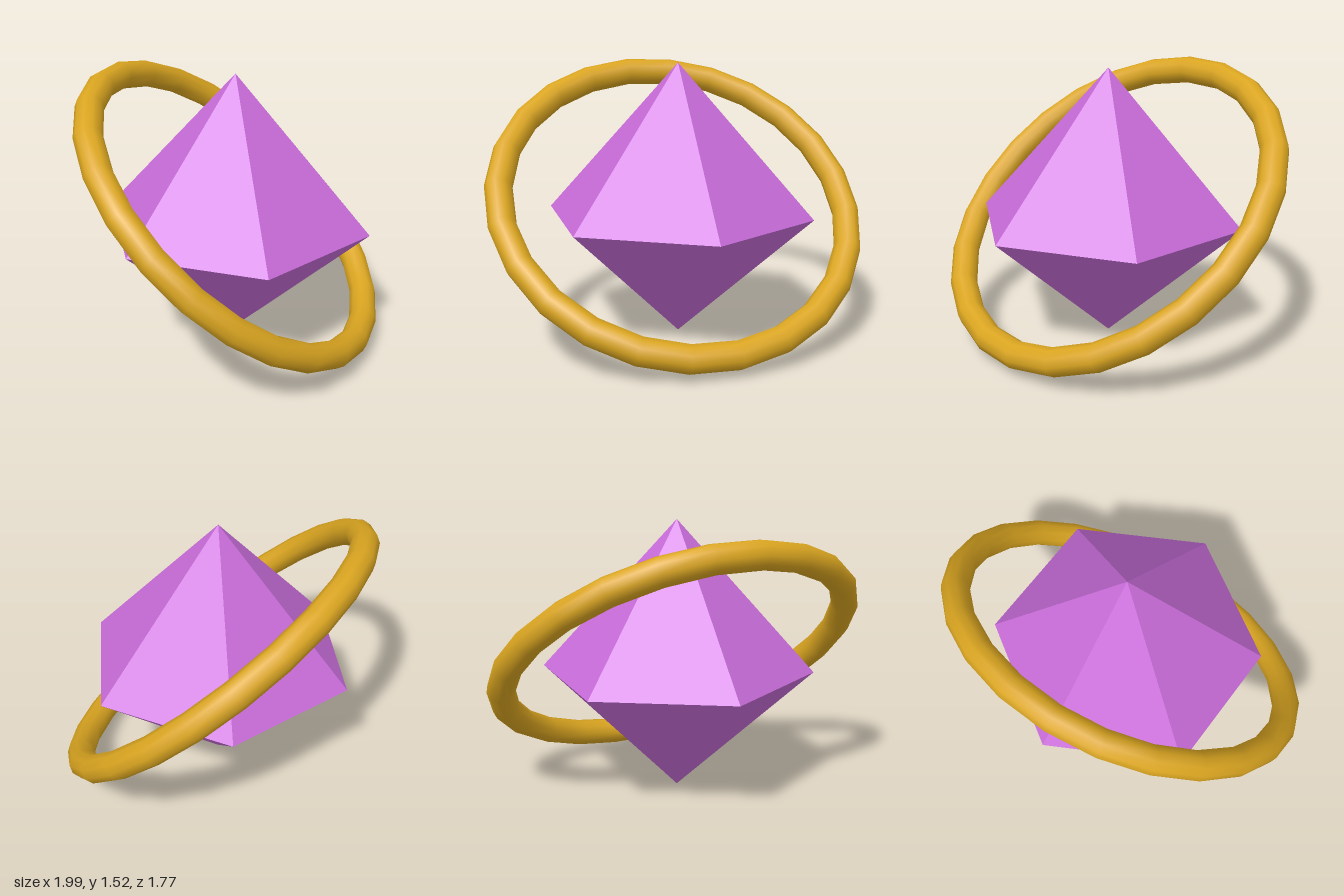
import * as THREE from 'three';

const SIDES = 6, RADIUS = 0.757, GIRDLE = 0.687, TOP = 1.52;

export function createModel() {
  const model = new THREE.Group();
  model.name = 'ringedCrystal';

  const crystalPurple = new THREE.MeshStandardMaterial({ color: 0xc86cd9 });
  crystalPurple.name = 'crystal purple';
  const ringGold = new THREE.MeshStandardMaterial({ color: 0xdaa520 });
  ringGold.name = 'ring gold';

  // Six-sided cone without a base, corners on the x axis, flat facets
  const addPoint = (name, height, y, flip) => {
    const cone = new THREE.ConeGeometry(RADIUS, height, SIDES, 1, true);
    cone.rotateY(Math.PI / 2);
    if (flip) cone.rotateX(Math.PI);
    const geometry = cone.toNonIndexed();
    geometry.computeVertexNormals();
    const mesh = new THREE.Mesh(geometry, crystalPurple);
    mesh.name = name;
    mesh.position.y = y;
    model.add(mesh);
  };
  addPoint('crystalTop', TOP - GIRDLE, (TOP + GIRDLE) / 2, false);
  addPoint('crystalBottom', GIRDLE, GIRDLE / 2, true);

  // Tilted ring around the crystal
  const ring = new THREE.Mesh(new THREE.TorusGeometry(0.985, 0.076, 10, 24), ringGold);
  ring.name = 'ring';
  ring.position.y = 0.763;
  ring.rotation.set(-0.916, 0.355, 0);
  model.add(ring);

  return model;
}
